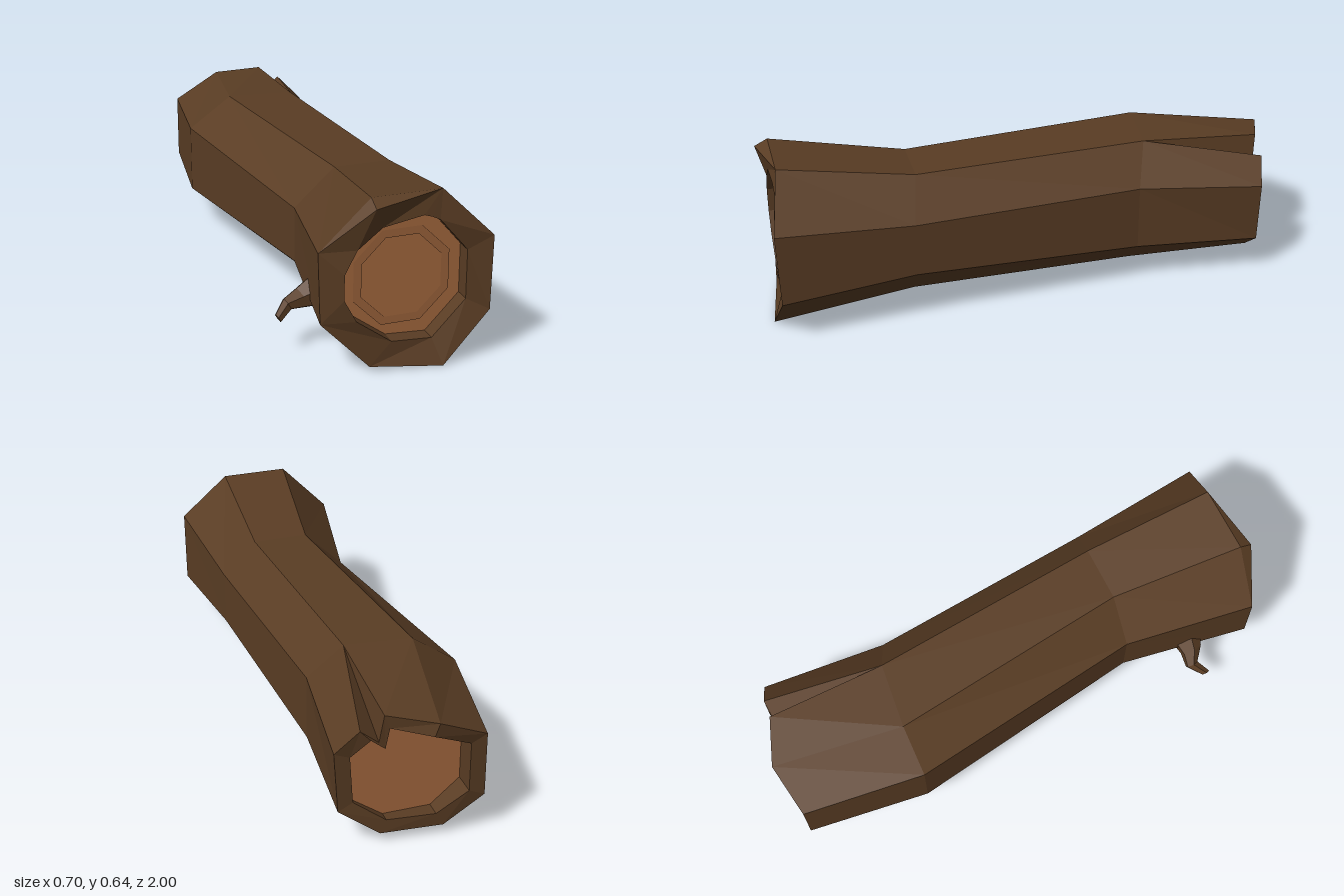
import * as THREE from 'three';

const bark = new THREE.MeshStandardMaterial({ color: 0x5a3d24, flatShading: true });
bark.name = 'bark';
const heartwood = new THREE.MeshStandardMaterial({ color: 0xa86b40, flatShading: true });
heartwood.name = 'heartwood';
const growthRingWood = new THREE.MeshStandardMaterial({ color: 0x9f653c, flatShading: true });
growthRingWood.name = 'growth ring wood';

// Collects faces between loops of points, leaving out collapsed ones
function facets(triangles) {
  const pos = [];
  for (const [a, b, c] of triangles) {
    const [p, q, r] = [a, b, c].map((v) => new THREE.Vector3(...v));
    if (q.clone().sub(p).cross(r.clone().sub(p)).length() < 1e-6) continue;
    pos.push(...a, ...b, ...c);
  }
  const g = new THREE.BufferGeometry();
  g.setAttribute('position', new THREE.Float32BufferAttribute(pos, 3));
  g.computeVertexNormals();
  return g;
}

// Skin over a row of loops, front to back, each counter-clockwise seen from +z
function skin(loops) {
  const tris = [];
  for (let k = 0; k + 1 < loops.length; k++) {
    const a = loops[k], b = loops[k + 1], n = a.length;
    for (let i = 0; i < n; i++) {
      const j = (i + 1) % n;
      tris.push([a[i], b[i], a[j]], [a[j], b[i], b[j]]);
    }
  }
  return facets(tris);
}

// Flat fan filling a loop
function cap(loop, center, facing) {
  return facets(loop.map((p, i) => {
    const q = loop[(i + 1) % loop.length];
    return facing > 0 ? [center, p, q] : [center, q, p];
  }));
}

// Eight corners spread over twelve slots, so every loop matches
const spread = (c) => [0, 1, 2, 2, 2, 3, 4, 4, 5, 5, 6, 7].map((i) => [...c[i]]);
const atZ = (loop, z) => loop.map(([x, y]) => [x, y, z]);

export function createModel() {
  const model = new THREE.Group();
  model.name = 'log';
  const add = (name, geometry, material) => {
    const mesh = new THREE.Mesh(geometry, material);
    mesh.name = name;
    model.add(mesh);
    return mesh;
  };

  // Cross-sections: right low, right high, top, left, bottom
  const front = spread([
    [0.35, 0.18, 0.98], [0.35, 0.465, 0.99], [0.17, 0.645, 0.95], [-0.09, 0.645, 0.95],
    [-0.27, 0.46, 0.93], [-0.265, 0.2, 0.94], [-0.09, 0.02, 0.96], [0.17, 0, 1]]);
  const crest = front.map((p) => [...p]);
  crest[5] = [-0.09, 0.62, 1];
  const waist = spread([
    [0.31, 0.21, 0.47], [0.31, 0.42, 0.47], [0.185, 0.565, 0.44], [-0.03, 0.565, 0.44],
    [-0.18, 0.42, 0.43], [-0.18, 0.21, 0.43], [-0.03, 0.08, 0.46], [0.185, 0.08, 0.46]]);
  const bend = spread([
    [0.24, 0.16, -0.42], [0.24, 0.415, -0.42], [0.115, 0.555, -0.47], [-0.14, 0.555, -0.5],
    [-0.31, 0.435, -0.5], [-0.31, 0.17, -0.5], [-0.14, 0.038, -0.46], [0.11, 0.04, -0.43]]);
  const back = spread([
    [0.28, 0.15, -0.9], [0.295, 0.39, -0.9], [0.125, 0.53, -0.93], [-0.05, 0.505, -1],
    [-0.24, 0.41, -0.97], [-0.24, 0.16, -0.97], [-0.1, 0.04, -0.94], [0.13, 0.04, -0.92]]);
  // Split in the bark at the back
  back[2] = [0.21, 0.48, -0.925];
  back[3] = [0.14, 0.42, -0.92];

  // Recessed openings at both ends
  const opening = atZ([
    [0.265, 0.225], [0.265, 0.41], [0.16, 0.535], [0.13, 0.55], [0.1, 0.56], [-0.05, 0.535],
    [-0.14, 0.465], [-0.185, 0.38], [-0.185, 0.285], [-0.14, 0.2], [-0.01, 0.105], [0.14, 0.095]], 0.96);
  const frontFloor = atZ(opening, 0.9);
  const backOpening = back.map(([x, y, z]) => [0.03 + (x - 0.03) * 0.78, 0.28 + (y - 0.28) * 0.78, z]);
  const backFloor = atZ(backOpening, -0.88);

  add('barkTrunk', skin([frontFloor, opening, crest, front, waist, bend, back, backOpening, backFloor]), bark);
  add('frontCutWood', cap(frontFloor, [0.045, 0.32, 0.9], 1), heartwood);
  add('backCutWood', cap(backFloor, [0.03, 0.28, -0.88], -1), heartwood);

  // Growth ring on the front cut
  const ring = add('growthRing', new THREE.RingGeometry(0.16, 0.192, 8, 1, Math.PI / 8), growthRingWood);
  ring.position.set(0.045, 0.322, 0.904);

  // Bent twig stub
  const stations = [
    [-0.19, 0.215, 0.71, 0.065], [-0.245, 0.195, 0.705, 0.045],
    [-0.295, 0.168, 0.685, 0.026], [-0.343, 0.138, 0.725, 0.018]];
  const axis = new THREE.Vector3(-0.85, -0.48, 0.1).normalize();
  const u = new THREE.Vector3(0, 0, 1).cross(axis).normalize();
  const v = axis.clone().cross(u);
  const twig = stations.map(([x, y, z, r]) => Array.from({ length: 6 }, (_, i) => {
    const t = (-i / 6) * Math.PI * 2;
    return new THREE.Vector3(x, y, z).addScaledVector(u, r * Math.cos(t)).addScaledVector(v, r * Math.sin(t)).toArray();
  }));
  add('twig', skin(twig), bark);
  add('twigTip', cap(twig[3], stations[3].slice(0, 3), -1), bark);

  return model;
}
